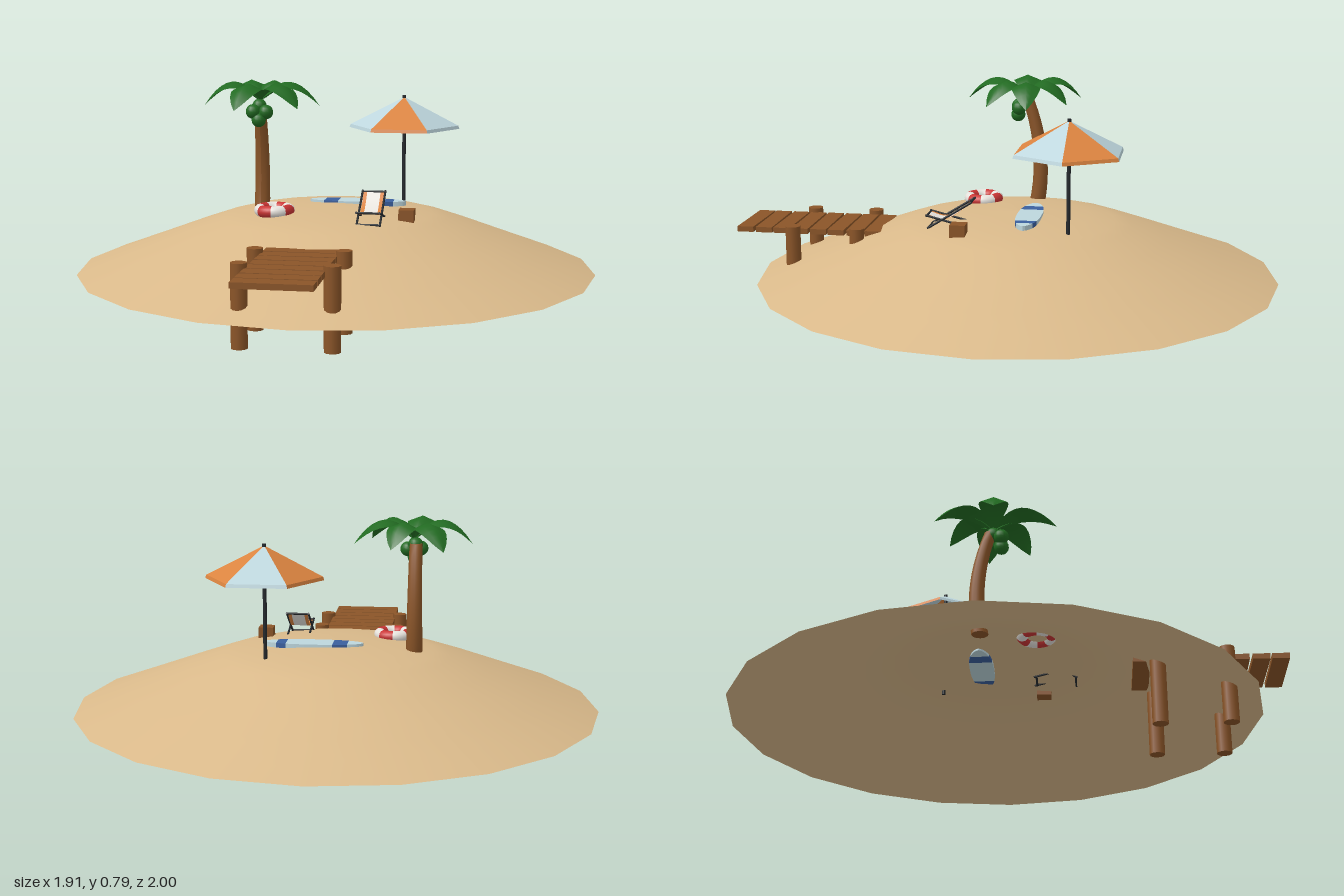
import * as THREE from 'three';

const mat = (name, color, side = THREE.FrontSide) => {
  const m = new THREE.MeshStandardMaterial({ color, side });
  m.name = name;
  return m;
};
const D = THREE.DoubleSide;

export function createModel() {
  const sand = mat('sand', 0xd9b98a, D), wood = mat('wood', 0x8b5528), green = mat('leaf green', 0x226b22, D);
  const orange = mat('orange', 0xdb8440, D), paleBlue = mat('pale blue', 0xbdd6dd, D), blue = mat('blue', 0x3a5f9e);
  const dark = mat('dark metal', 0x24282c), red = mat('red', 0xc93434), white = mat('white', 0xeeeae4, D);

  const root = new THREE.Group();
  root.name = 'beachIsland';
  const group = (name) => {
    const g = new THREE.Group();
    g.name = name;
    root.add(g);
    return g;
  };
  const add = (parent, name, geo, material, x = 0, y = 0, z = 0) => {
    const m = new THREE.Mesh(geo, material);
    m.name = name;
    m.position.set(x, y, z);
    parent.add(m);
    return m;
  };
  const faceted = (geo) => {
    const g = geo.toNonIndexed();
    g.computeVertexNormals();
    return g;
  };
  // Thin round bar between two points
  const rod = (parent, name, a, b, r, material) => {
    const p = new THREE.Vector3(...a), q = new THREE.Vector3(...b), d = q.clone().sub(p);
    const m = add(parent, name, new THREE.CylinderGeometry(r, r, d.length(), 8), material);
    m.position.copy(p).add(q).multiplyScalar(0.5);
    m.quaternion.setFromUnitVectors(new THREE.Vector3(0, 1, 0), d.normalize());
  };

  // Island: open sand dome
  const dune = [[0.955, 0.1], [0.75, 0.176], [0.55, 0.251], [0.42, 0.296], [0.36, 0.311], [0.27, 0.325], [0.14, 0.336], [0, 0.341]];
  add(root, 'sandIsland', new THREE.LatheGeometry(dune.map((p) => new THREE.Vector2(...p)), 20), sand, 0, 0, -0.045);

  // Jetty
  const jetty = group('jetty');
  for (let i = 0; i < 8; i++) {
    const plank = add(jetty, 'plank', new THREE.BoxGeometry(0.26, 0.02, 0.061), wood, -0.03, 0.255, 0.481 + i * 0.0695);
    plank.rotation.y = 0.012 * Math.sin(i * 2.3);
  }
  for (const x of [-0.181, 0.121]) {
    for (const z of [0.535, 0.777]) add(jetty, 'post', new THREE.CylinderGeometry(0.028, 0.028, 0.28, 12), wood, x, 0.14, z);
  }

  // Palm trunk, bent by a curve
  const palm = group('palmTree');
  const trunk = new THREE.CylinderGeometry(0.023, 0.03, 0.4, 12, 10);
  const tp = trunk.attributes.position;
  for (let i = 0; i < tp.count; i++) {
    const t = tp.getY(i) / 0.4 + 0.5;
    tp.setZ(i, tp.getZ(i) - 0.08 - 0.075 * t + 0.11 * t * t);
  }
  trunk.computeVertexNormals();
  add(palm, 'trunk', trunk, wood, -0.287, 0.505, 0);

  // Arching, ridged fronds: direction in degrees, length
  for (const [angle, length] of [[176, 0.21], [-119, 0.23], [-66, 0.18], [-8, 0.217], [38, 0.205], [102, 0.235]]) {
    const leaf = new THREE.PlaneGeometry(1, 2, 10, 4).rotateX(-Math.PI / 2);
    const lp = leaf.attributes.position;
    for (let i = 0; i < lp.count; i++) {
      const t = lp.getX(i) + 0.5, u = lp.getZ(i);
      const w = 0.006 * (1 - t) + 0.05 * Math.pow(Math.sin(Math.PI * Math.pow(t, 1.1)), 0.8);
      lp.setXYZ(i, t * length, 0.01 + 0.29 * t - 0.31 * t * t - 0.4 * Math.abs(u) * w, u * w);
    }
    leaf.computeVertexNormals();
    add(palm, 'frond', leaf, green, -0.28, 0.712, -0.035).rotation.y = -angle * Math.PI / 180;
  }
  for (const [x, y, z] of [[-0.303, 0.682, -0.005], [-0.256, 0.68, -0.012], [-0.282, 0.651, -0.006], [-0.285, 0.7, -0.035]]) {
    add(palm, 'coconut', new THREE.SphereGeometry(0.027, 14, 10), green, x, y, z);
  }

  // Parasol with six panels
  const parasol = group('parasol');
  parasol.position.set(0.229, 0, -0.258);
  add(parasol, 'pole', new THREE.CylinderGeometry(0.007, 0.007, 0.425, 10), dark, 0, 0.515, 0);
  for (let i = 0; i < 6; i++) {
    const start = (i * 60 - 30) * Math.PI / 180, m = i % 2 ? paleBlue : orange;
    const part = (rTop, rLow, h) => faceted(new THREE.CylinderGeometry(rTop, rLow, h, 1, 1, true, start, Math.PI / 3));
    add(parasol, 'canopyPanel', part(0.002, 0.206, 0.105), m, 0, 0.6675, 0);
    add(parasol, 'canopyRim', part(0.206, 0.21, 0.012), m, 0, 0.609, 0);
  }

  // Surfboard cut into colour bands across its length
  const board = group('surfboard');
  const half = (x) => 0.045 * Math.pow(Math.max(0, 1 - Math.pow(Math.abs((x - 0.075) / 0.18), 2.5)), 0.6);
  for (const [x0, x1, m] of [[-0.105, -0.048, paleBlue], [-0.048, 0.005, blue], [0.005, 0.175, paleBlue], [0.175, 0.21, blue], [0.21, 0.255, paleBlue]]) {
    const pts = [];
    for (let i = 0; i <= 10; i++) {
      const x = x0 + (x1 - x0) * i / 10;
      pts.push(new THREE.Vector2(x, half(x)));
    }
    const edge = pts.concat(pts.slice().reverse().map((p) => new THREE.Vector2(p.x, -p.y)));
    const geo = new THREE.ExtrudeGeometry(new THREE.Shape(edge), { depth: 0.017, bevelEnabled: false });
    add(board, 'boardBand', geo.rotateX(-Math.PI / 2), m, 0, 0.33, -0.1);
  }

  // Deck chair: crossed frame and sagging striped sling
  const chair = group('deckChair');
  chair.position.x = 0.161;
  for (const x of [-0.041, 0.041]) {
    rod(chair, 'backRail', [x, 0.312, 0.252], [x, 0.413, 0.09], 0.004, dark);
    rod(chair, 'seatRail', [x, 0.36, 0.258], [x, 0.318, 0.09], 0.004, dark);
  }
  for (const [y, z] of [[0.41, 0.095], [0.358, 0.253], [0.315, 0.247], [0.32, 0.1]]) {
    rod(chair, 'crossBar', [-0.044, y, z], [0.044, y, z], 0.004, dark);
  }
  const sling = new THREE.CatmullRomCurve3([[0.411, 0.095], [0.369, 0.145], [0.345, 0.195], [0.359, 0.253]].map(([y, z]) => new THREE.Vector3(0, y, z)));
  for (const [x0, x1, m] of [[-0.037, -0.024, orange], [-0.024, 0.024, white], [0.024, 0.037, orange]]) {
    const strip = new THREE.PlaneGeometry(1, 1, 1, 12).rotateX(-Math.PI / 2);
    const sp = strip.attributes.position;
    for (let i = 0; i < sp.count; i++) {
      const p = sling.getPoint(sp.getZ(i) + 0.5);
      sp.setXYZ(i, sp.getX(i) < 0 ? x0 : x1, p.y, p.z);
    }
    strip.computeVertexNormals();
    add(chair, 'slingStripe', strip, m);
  }

  // Crate
  add(root, 'crate', new THREE.BoxGeometry(0.055, 0.05, 0.055), wood, 0.283, 0.329, 0.123);

  // Life ring in eight alternating sections
  const ring = group('lifeRing');
  ring.position.set(-0.2, 0.337, 0.115);
  for (let i = 0; i < 8; i++) {
    const geo = new THREE.TorusGeometry(0.052, 0.022, 12, 5, Math.PI / 4).rotateX(Math.PI / 2);
    add(ring, 'ringSection', geo, i % 2 ? white : red).rotation.y = -i * Math.PI / 4;
  }

  return root;
}
